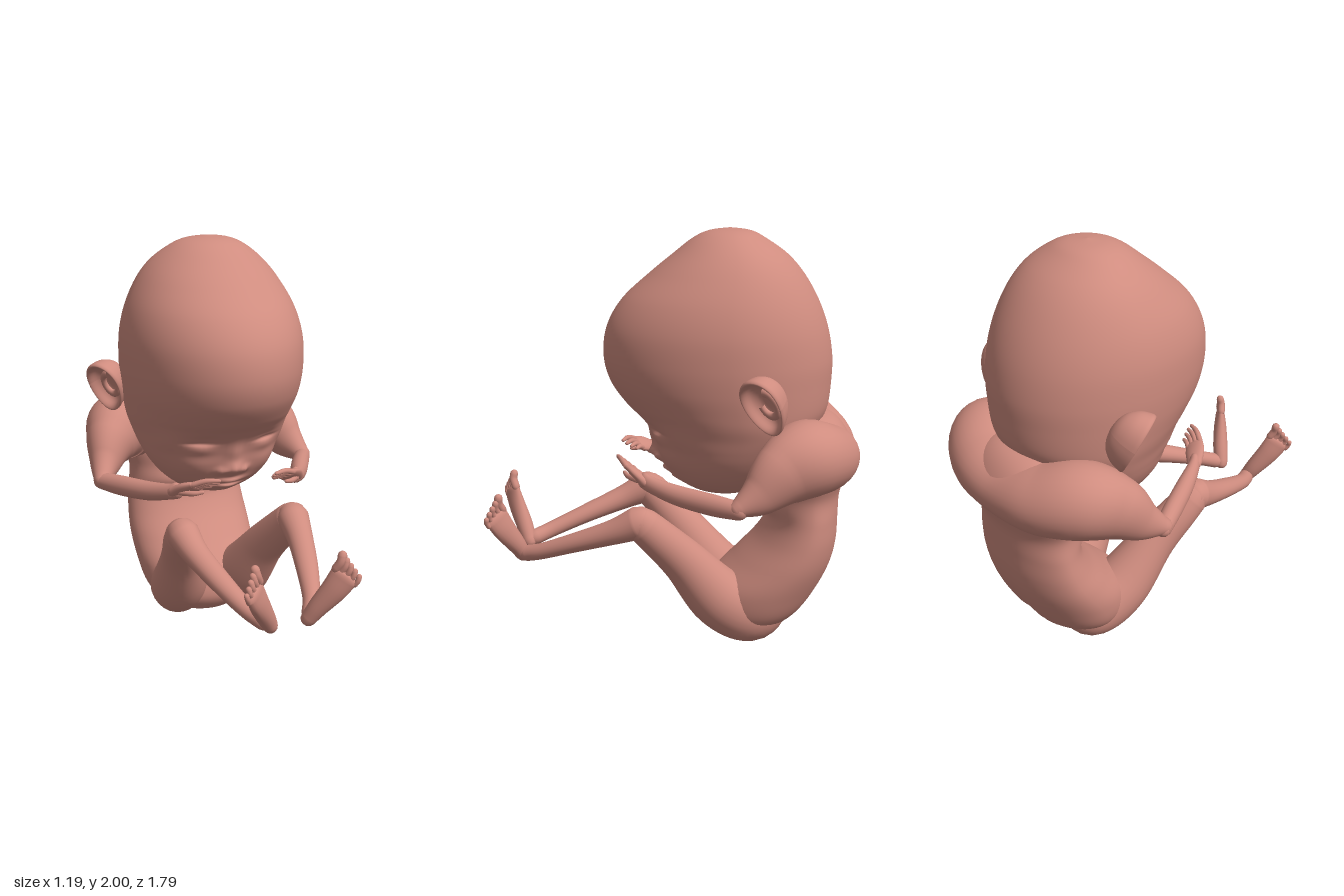
import * as THREE from 'three';

const V = (x, y, z) => new THREE.Vector3(x, y, z);
const skin = new THREE.MeshStandardMaterial({ color: 0xcf8c7f });
skin.name = 'skin';

// Closed smooth skin over a list of equal-length rings
function skinRings(rings) {
  const n = rings[0].length, pos = [], idx = [];
  rings.forEach(r => r.forEach(p => pos.push(p.x, p.y, p.z)));
  for (let i = 0; i < rings.length - 1; i++) for (let j = 0; j < n; j++) {
    const a = i * n + j, b = i * n + (j + 1) % n;
    idx.push(a, b, b + n, a, b + n, a + n);
  }
  const g = new THREE.BufferGeometry();
  g.setAttribute('position', new THREE.Float32BufferAttribute(pos, 3));
  g.setIndex(idx);
  g.computeVertexNormals();
  return g;
}

// Smooth interpolation through rows of numbers, all columns in step
function sampler(rows) {
  const spline = f => new THREE.CatmullRomCurve3(rows.map(f), false, 'catmullrom', 0.5);
  const c1 = spline(r => V(r[0], r[1], r[2]));
  const c2 = spline(r => V(r[3], r[4] ?? 0, 0));
  return t => ({ p: c1.getPoint(t), q: c2.getPoint(t), d: c1.getTangent(t) });
}

// Limb: rows of [x, y, z, wide radius, thin radius], rounded at both ends
function limb(rows, wide, steps = 8, seg = 20) {
  const at = sampler(rows), N = steps * (rows.length - 1), rings = [];
  const ring = (t, off, k) => {
    const { p, q, d } = at(t);
    const A = wide.clone().addScaledVector(d, -wide.dot(d)).normalize();
    const B = d.clone().cross(A);
    const c = p.clone().addScaledVector(d, off * Math.min(q.x, q.y));
    rings.push(Array.from({ length: seg }, (_, j) => {
      const a = j / seg * Math.PI * 2;
      return c.clone().addScaledVector(A, Math.cos(a) * q.x * k).addScaledVector(B, Math.sin(a) * q.y * k);
    }));
  };
  const cap = [0.01, 0.3, 0.6, 0.85];
  cap.forEach(k => ring(0, -Math.sqrt(1 - k * k), k));
  for (let i = 0; i <= N; i++) ring(i / N, 0, 1);
  cap.reverse().forEach(k => ring(1, Math.sqrt(1 - k * k), k));
  return skinRings(rings);
}

// Upright body: rows of [y, half width, front z, back z], reshaped by a rule
function stack(rows, steps, seg, rule) {
  const at = sampler(rows), N = steps * (rows.length - 1), rings = [];
  for (let i = 0; i <= N; i++) {
    const { p, q } = at(i / N);
    const zf = p.z, zb = q.x, cz = zf * 0.45 + zb * 0.55, w = Math.max(p.y, 0.001);
    rings.push(Array.from({ length: seg }, (_, j) => {
      const a = j / seg * Math.PI * 2, s = -Math.sin(a);
      const x = w * Math.cos(a), z = cz + s * (s > 0 ? zf - cz : cz - zb);
      return V(x, p.x, z + rule(x, p.x, s));
    }));
  }
  return skinRings(rings);
}

// Relief: [x, y, x spread, y spread, depth], mirrored where x is not 0
const bump = (x, y, [bx, by, sx, sy, h]) =>
  h * Math.exp(-(((Math.abs(x) - bx) / sx) ** 2) - ((y - by) / sy) ** 2);
const relief = [
  [0, 0.915, 0.042, 0.035, 0.05], [0, 0.99, 0.035, 0.06, 0.022], [0.058, 0.905, 0.022, 0.02, 0.028],
  [0.15, 1.08, 0.05, 0.025, -0.01], [0.17, 1.025, 0.06, 0.03, 0.014], [0.17, 1.058, 0.055, 0.009, -0.014],
  [0.3, 1.05, 0.07, 0.06, 0.025], [0.2, 0.93, 0.09, 0.08, 0.022],
  [0, 0.842, 0.065, 0.014, 0.026], [0, 0.8, 0.06, 0.014, 0.022], [0, 0.82, 0.09, 0.006, -0.014],
  [0, 0.765, 0.05, 0.02, 0.012],
];
const faceRule = (x, y, s) => s <= 0 ? 0 : Math.min(1, s * 2) * relief.reduce((d, b) => d + bump(x, y, b), 0);

// Chest fold in front, shallow spine furrow behind, cleft between the buttocks
const torsoRule = (x, y, s) => s > 0
  ? Math.min(1, s * 2) * bump(x, y, [0, 0.69, 0.22, 0.05, 0.05])
  : -s * (bump(x, y, [0, 0.45, 0.07, 0.3, 0.012]) + bump(x, y, [0, 0.12, 0.05, 0.1, 0.03]));

function mirrored(geo) {
  const g = geo.clone().applyMatrix4(new THREE.Matrix4().makeScale(-1, 1, 1));
  const ix = g.index.array;
  for (let i = 0; i < ix.length; i += 3) [ix[i], ix[i + 1]] = [ix[i + 1], ix[i]];
  g.computeVertexNormals();
  return g;
}

export function createModel() {
  const model = new THREE.Group();
  model.name = 'baby';
  const add = (name, geo) => {
    const m = new THREE.Mesh(geo, skin);
    m.name = name;
    model.add(m);
  };
  const pair = (name, geo) => {
    add('left' + name, geo);
    add('right' + name, mirrored(geo));
  };

  // Head with closed eyes, nose and mouth
  add('head', stack([
    [0.73, 0, -0.22, -0.22], [0.738, 0.1, -0.13, -0.34], [0.77, 0.185, -0.06, -0.42], [0.82, 0.25, 0.01, -0.48],
    [0.88, 0.3, 0.05, -0.54], [0.94, 0.335, 0.075, -0.59], [1.0, 0.36, 0.095, -0.64], [1.06, 0.38, 0.125, -0.69],
    [1.12, 0.4, 0.175, -0.72], [1.18, 0.413, 0.235, -0.74], [1.28, 0.43, 0.305, -0.75], [1.4, 0.44, 0.337, -0.752],
    [1.54, 0.436, 0.32, -0.728], [1.67, 0.405, 0.245, -0.68], [1.79, 0.347, 0.115, -0.61], [1.88, 0.278, 0.005, -0.53],
    [1.95, 0.19, -0.085, -0.43], [1.985, 0.11, -0.16, -0.36], [2, 0, -0.26, -0.26],
  ], 9, 96, faceRule));

  // Torso
  add('torso', stack([
    [0.03, 0, -0.35, -0.35], [0.035, 0.13, -0.24, -0.46], [0.07, 0.22, -0.18, -0.54], [0.15, 0.29, -0.14, -0.64],
    [0.27, 0.322, -0.17, -0.72], [0.4, 0.332, -0.3, -0.778], [0.52, 0.325, -0.41, -0.802], [0.64, 0.312, -0.47, -0.805],
    [0.75, 0.305, -0.46, -0.81], [0.85, 0.335, -0.46, -0.84], [0.95, 0.34, -0.47, -0.87],
    [1.05, 0.27, -0.5, -0.83], [1.12, 0.17, -0.52, -0.76], [1.15, 0, -0.65, -0.65],
  ], 7, 56, torsoRule));

  // Ears: a cupped oval, wider and leaning outward at the top, with an inner fold
  const up = V(0.3, 0.87, 0.38).normalize();
  const normal = V(0.55, 0, -0.83).cross(up).normalize();
  const place = new THREE.Matrix4().makeBasis(up, normal, up.clone().cross(normal)).setPosition(0.468, 1.265, -0.425);
  const profile = [[0, -0.1], [0.35, -0.092], [0.65, -0.07], [0.88, -0.03], [0.99, 0.015], [1, 0.033], [0.95, 0.042],
    [0.85, 0.03], [0.7, -0.005], [0.4, -0.03], [0, -0.035]];
  const cup = new THREE.LatheGeometry(new THREE.SplineCurve(profile.map(p => new THREE.Vector2(...p))).getPoints(36)
    .map(p => new THREE.Vector2(Math.max(p.x, 0), p.y)), 40).scale(0.15, 1, 0.1);
  const cp = cup.attributes.position;
  for (let i = 0; i < cp.count; i++) cp.setZ(i, cp.getZ(i) * (1 + 1.2 * cp.getX(i)));
  cup.computeVertexNormals();
  pair('Ear', cup.applyMatrix4(place));
  const fold = new THREE.TorusGeometry(0.05, 0.016, 10, 28, 4.6).rotateX(Math.PI / 2).scale(1.3, 1, 0.85);
  pair('EarFold', fold.translate(-0.01, -0.012, 0).applyMatrix4(place));

  // One yoke runs from elbow to elbow around the upper back
  const Y = V(0, 1, 0);
  const arm = [
    [0.2, 0.955, -0.685, 0.165, 0.19], [0.36, 0.985, -0.605, 0.18, 0.18], [0.45, 0.94, -0.5, 0.155, 0.128],
    [0.51, 0.86, -0.4, 0.1, 0.078], [0.55, 0.81, -0.31, 0.045, 0.045],
  ];
  const otherArm = arm.map(([x, ...rest]) => [-x, ...rest]).reverse();
  add('shouldersAndUpperArms', limb([...otherArm, [0, 0.935, -0.705, 0.145, 0.185], ...arm], Y, 8, 32));
  pair('Forearm', limb([
    [0.555, 0.8, -0.31, 0.042, 0.04], [0.487, 0.805, -0.19, 0.05, 0.044], [0.4, 0.82, -0.03, 0.047, 0.042],
    [0.335, 0.847, 0.09, 0.039, 0.03], [0.305, 0.862, 0.13, 0.04, 0.024],
  ], Y));

  // Hands with four fingers and a thumb
  const palm = V(0.3, 0.5, 0.6);
  pair('Palm', limb([[0.32, 0.852, 0.115, 0.037, 0.026], [0.275, 0.88, 0.16, 0.05, 0.023], [0.24, 0.893, 0.19, 0.048, 0.018]], palm));
  for (let i = 0; i < 4; i++) {
    const k = i / 3, long = 1 - 0.35 * k * k;
    const x = 0.255 - 0.02 * k, y = 0.912 - 0.046 * k, z = 0.212 - 0.05 * k;
    pair('Finger' + (i + 1), limb([
      [x, y, z, 0.014, 0.014], [x - 0.055 * long, y + 0.02, z + 0.03 * long, 0.013, 0.013],
      [x - 0.11 * long, y + 0.02, z + 0.05 * long, 0.009, 0.009],
    ], Y, 5, 10));
  }
  pair('Thumb', limb([[0.3, 0.862, 0.16, 0.016, 0.014], [0.255, 0.865, 0.205, 0.013, 0.012], [0.215, 0.872, 0.225, 0.009, 0.009]], Y, 5, 10));

  // Legs: seat to knee, then knee to heel
  const X = V(1, 0, 0);
  pair('Thigh', limb([
    [0.13, 0.23, -0.46, 0.12, 0.13], [0.15, 0.148, -0.38, 0.135, 0.15], [0.175, 0.228, -0.23, 0.142, 0.148],
    [0.222, 0.43, -0.06, 0.106, 0.11], [0.268, 0.57, 0.07, 0.09, 0.092], [0.288, 0.635, 0.135, 0.08, 0.085],
  ], X, 8, 28));
  pair('Calf', limb([
    [0.288, 0.645, 0.155, 0.08, 0.08], [0.268, 0.59, 0.28, 0.064, 0.06], [0.22, 0.52, 0.46, 0.054, 0.047],
    [0.163, 0.452, 0.63, 0.042, 0.04], [0.115, 0.42, 0.72, 0.04, 0.04],
  ], X, 8, 24));

  // Feet turned up, toes fanning from the big toe inward to the small toe outward
  const across = V(0.08, -0.09, 0.07);
  pair('Foot', limb([
    [0.093, 0.408, 0.745, 0.036, 0.034], [0.13, 0.475, 0.772, 0.046, 0.04],
    [0.18, 0.565, 0.816, 0.058, 0.035], [0.212, 0.635, 0.845, 0.064, 0.024],
  ], across));
  for (let i = 0; i < 5; i++) {
    const k = i / 4, r = i ? 0.016 - 0.001 * i : 0.02, len = 1 - 0.4 * k;
    const x = 0.183 + 0.068 * k, y = 0.668 - 0.065 * k, z = 0.822 + 0.054 * k;
    pair('Toe' + (i + 1), limb([
      [x, y, z, r, r], [x + 0.016 * len, y + 0.035 * len, z + 0.014 * len, r, r],
      [x + 0.024 * len, y + 0.064 * len, z + 0.012 * len, r * 1.05, r],
    ], across, 5, 12));
  }
  return model;
}
